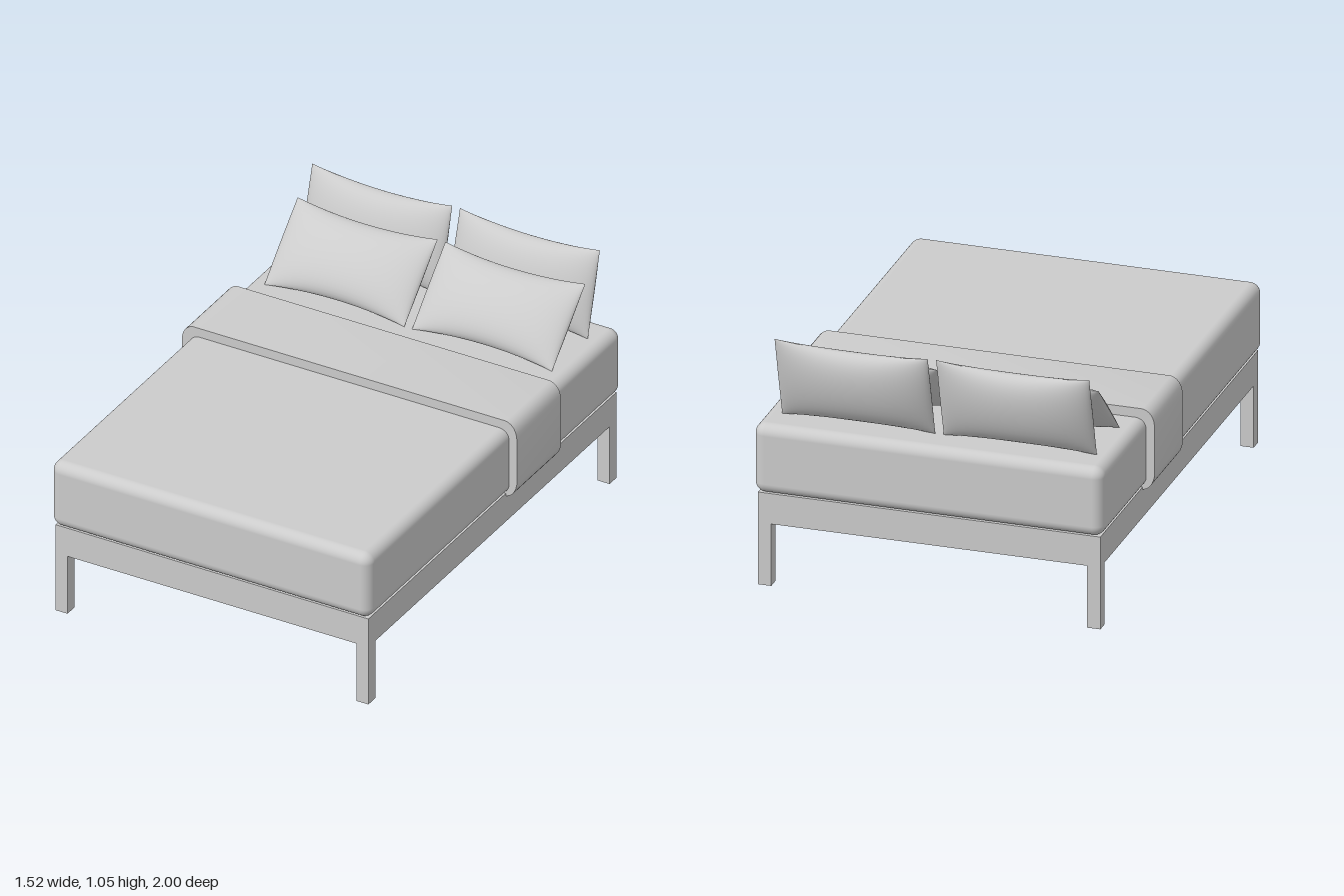
import * as THREE from 'three';
import { mergeGeometries, toCreasedNormals } from 'three/addons/utils/BufferGeometryUtils.js';
import { RoundedBoxGeometry } from 'three/addons/geometries/RoundedBoxGeometry.js';

const material = new THREE.MeshStandardMaterial({ color: 0xcccccc });

function add(parent, name, geometry, x = 0, y = 0, z = 0) {
  const mesh = new THREE.Mesh(geometry, material);
  mesh.name = name;
  mesh.position.set(x, y, z);
  parent.add(mesh);
  return mesh;
}

// Two bulged sheets meeting at a sharp seam, with the long edges drawn in
function pillowGeometry(width, height, bulge) {
  const sheet = new THREE.PlaneGeometry(2, 2, 28, 20);
  const p = sheet.attributes.position;
  for (let i = 0; i < p.count; i++) {
    const u = Math.sin(p.getX(i) * Math.PI / 2);
    const v = Math.sin(p.getY(i) * Math.PI / 2);
    const fill = Math.max(0, (1 - u * u) * (1 - v * v));
    const pinch = 1 - 0.13 * (1 - u * u) * v * v;
    p.setXYZ(i, u * width / 2, v * pinch * height / 2, bulge * Math.pow(fill, 0.55));
  }
  sheet.computeVertexNormals();
  return mergeGeometries([sheet, sheet.clone().rotateY(Math.PI)]);
}

// Blanket section: wraps the top and sides and tucks in under the mattress
function blanketGeometry(depth) {
  const s = new THREE.Shape();
  s.moveTo(0.70, 0.383);
  s.quadraticCurveTo(0.75, 0.385, 0.76, 0.45);
  s.lineTo(0.76, 0.66);
  s.quadraticCurveTo(0.755, 0.72, 0.71, 0.73);
  s.lineTo(-0.71, 0.73);
  s.quadraticCurveTo(-0.755, 0.72, -0.76, 0.66);
  s.lineTo(-0.76, 0.45);
  s.quadraticCurveTo(-0.75, 0.385, -0.70, 0.383);
  s.lineTo(-0.70, 0.41);
  s.lineTo(-0.71, 0.68);
  s.lineTo(0.71, 0.68);
  s.lineTo(0.70, 0.41);
  const g = new THREE.ExtrudeGeometry(s, { depth, bevelEnabled: false, curveSegments: 6 });
  return toCreasedNormals(g, 0.6);
}

export function createModel() {
  const bed = new THREE.Group();
  bed.name = 'bed';

  // Base and legs
  add(bed, 'frame', new THREE.BoxGeometry(1.42, 0.13, 1.96), 0, 0.33, 0);
  const leg = new THREE.BoxGeometry(0.055, 0.27, 0.055);
  for (const x of [-1, 1]) {
    for (const z of [-1, 1]) {
      const name = (z > 0 ? 'front' : 'back') + (x > 0 ? 'Left' : 'Right') + 'Leg';
      add(bed, name, leg, x * 0.6825, 0.135, z * 0.9525);
    }
  }

  // Bedding
  add(bed, 'mattress', new RoundedBoxGeometry(1.45, 0.295, 2, 5, 0.045), 0, 0.5425, 0);
  add(bed, 'blanket', blanketGeometry(0.35), 0, 0, -0.455);

  // Two rows of pillows, the rear row more upright
  const pillow = pillowGeometry(0.635, 0.372, 0.072);
  for (const x of [-0.337, 0.333]) {
    const side = x > 0 ? 'left' : 'right';
    add(bed, side + 'RearPillow', pillow, x, 0.868, -0.904).rotation.x = -0.26;
    add(bed, side + 'FrontPillow', pillow, x, 0.822, -0.705).rotation.x = -0.785;
  }
  return bed;
}
